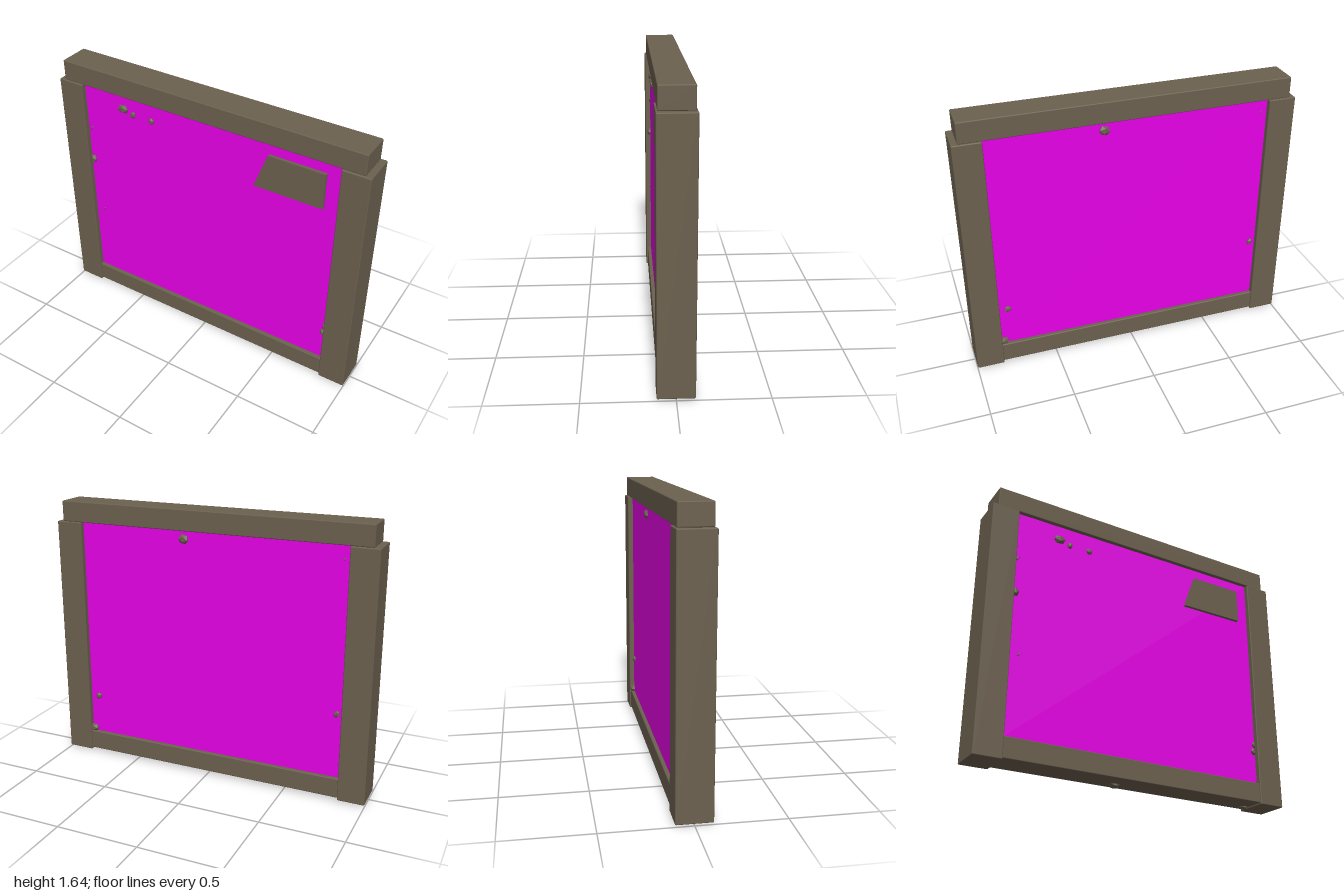
import * as THREE from 'three';
import { RoundedBoxGeometry } from 'three/addons/geometries/RoundedBoxGeometry.js';

export function createModel() {
  const root = new THREE.Group();
  root.name = 'framedPanel';
  const stone = new THREE.MeshStandardMaterial({ color: 0x6c614f });
  stone.name = 'brown stone';
  const magenta = new THREE.MeshStandardMaterial({ color: 0xff00ff });
  magenta.name = 'magenta';

  const add = (name, geometry, material, x, y, z) => {
    const mesh = new THREE.Mesh(geometry, material);
    mesh.name = name;
    mesh.position.set(x, y, z);
    root.add(mesh);
    return mesh;
  };

  // Frame members with narrow bevelled edges
  const beam = (name, w, h, d, x, y) =>
    add(name, new RoundedBoxGeometry(w, h, d, 1, 0.006), stone, x, y, 0);
  beam('leftPost', 0.165, 1.51, 0.205, 0.9175, 0.775);
  beam('rightPost', 0.165, 1.51, 0.205, -0.9175, 0.775);
  beam('topBeam', 1.93, 0.125, 0.187, 0, 1.5925);
  beam('bottomRail', 1.69, 0.122, 0.187, 0, 0.091);

  // Recessed panel, seen on both sides
  add('panel', new THREE.BoxGeometry(1.69, 1.4, 0.14), magenta, 0, 0.84, 0);

  // Slanted plate in the upper corner of the front
  const outline = new THREE.Shape([[0.33, 1.24], [0.75, 1.24], [0.75, 1.46], [0.41, 1.46]]
    .map(([x, y]) => new THREE.Vector2(x, y)));
  add('cornerPlate', new THREE.ExtrudeGeometry(outline, { depth: 0.022, bevelEnabled: false }),
    stone, 0, 0, 0.068);

  // Small faceted lumps: x, y, z, half width, half height, half depth, tilt
  const lumps = [
    [-0.56, 1.44, 0.072, 0.04, 0.03, 0.018, 0.1],
    [-0.49, 1.42, 0.072, 0.018, 0.024, 0.014, -0.3],
    [-0.36, 1.42, 0.072, 0.02, 0.022, 0.014, 0.3],
    [-0.82, 1.01, 0.072, 0.024, 0.03, 0.02, 0.1],
    [-0.815, 1.23, 0.07, 0.005, 0.02, 0.008, -0.6],
    [-0.772, 0.635, 0.07, 0.005, 0.015, 0.008, -0.6],
    [0.82, 0.355, 0.072, 0.017, 0.024, 0.015, 0.2],
    [0.828, 0.4, 0.072, 0.012, 0.022, 0.012, 0.2],
    [0.158, 1.48, -0.072, 0.034, 0.03, 0.02, 0.2],
    [0.78, 0.4, -0.072, 0.024, 0.022, 0.015, -0.4],
    [0.82, 0.175, -0.08, 0.032, 0.026, 0.024, 0.1],
    [-0.8, 0.55, -0.072, 0.017, 0.024, 0.014, 0.5],
    [-0.8, 1.45, -0.07, 0.006, 0.008, 0.006, 0],
    [-0.11, 0.03, -0.035, 0.036, 0.022, 0.034, 0],
    [0.805, 0.03, -0.035, 0.026, 0.02, 0.026, 0.2],
  ];
  lumps.forEach(([x, y, z, w, h, d, tilt], i) => {
    const lump = add('lump' + (i + 1), new THREE.IcosahedronGeometry(1, 0), stone, x, y, z);
    lump.scale.set(w, h, d);
    lump.rotation.z = tilt;
  });

  return root;
}
